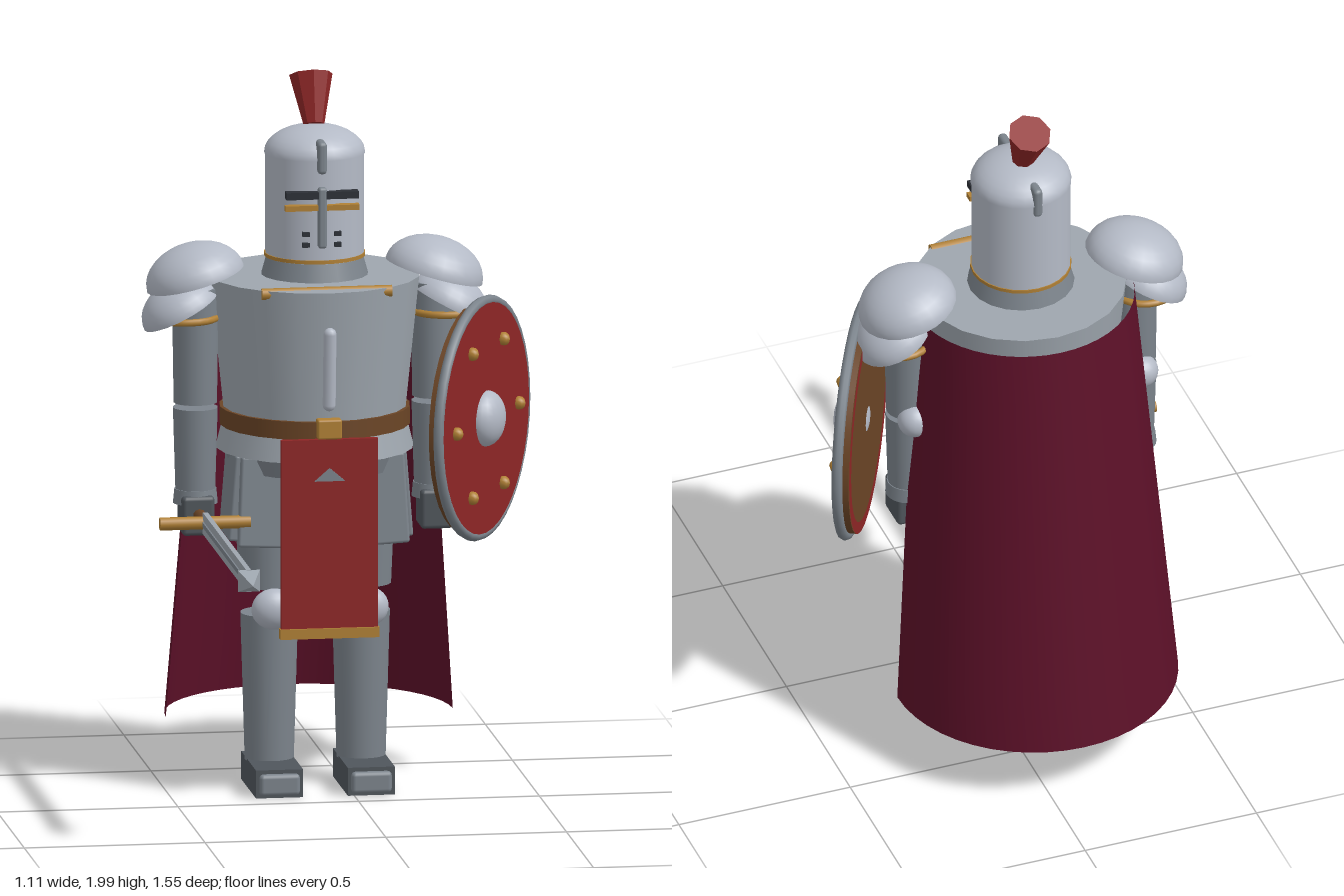
import * as THREE from 'three';
import { RoundedBoxGeometry } from 'three/addons/geometries/RoundedBoxGeometry.js';

const material = (name, color, side = THREE.FrontSide) =>
  Object.assign(new THREE.MeshStandardMaterial({ color, side }), { name });

export function createModel() {
  const M = {
    bright: material('brightSteel', 0xb4bac6, THREE.DoubleSide),
    plate: material('plateSteel', 0x9ea6ae),
    mail: material('greySteel', 0x7c848c),
    boot: material('darkSteel', 0x50565c),
    slit: material('blackSlit', 0x2c3036),
    red: material('redCloth', 0x8e2626),
    cape: material('crimsonCape', 0x5c1028, THREE.DoubleSide),
    gold: material('gold', 0xb08035),
    wood: material('brownLeather', 0x6b4526),
  };
  const model = new THREE.Group();
  model.name = 'knight';
  const body = new THREE.Group();
  body.name = 'body';
  body.position.set(-0.08, 0, -0.28);
  model.add(body);

  // Helpers: each adds one named mesh to a parent
  const add = (parent, name, geo, mat, x = 0, y = 0, z = 0) => {
    const m = new THREE.Mesh(geo, mat);
    m.name = name;
    m.position.set(x, y, z);
    parent.add(m);
    return m;
  };
  const box = (p, name, mat, w, h, d, x, y, z) => add(p, name, new THREE.BoxGeometry(w, h, d), mat, x, y, z);
  const round = (p, name, mat, w, h, d, r, x, y, z) => add(p, name, new RoundedBoxGeometry(w, h, d, 2, r), mat, x, y, z);
  const column = (p, name, mat, rTop, rBottom, y0, y1, x = 0, z = 0, sides = 20) =>
    add(p, name, new THREE.CylinderGeometry(rTop, rBottom, y1 - y0, sides), mat, x, (y0 + y1) / 2, z);
  const ball = (p, name, mat, r, x, y, z, sx = 1, sy = 1, sz = 1) => {
    const m = add(p, name, new THREE.SphereGeometry(r, 20, 14), mat, x, y, z);
    m.scale.set(sx, sy, sz);
    return m;
  };
  const dome = (p, name, mat, r, h, x, y, z = 0) => {
    const m = add(p, name, new THREE.SphereGeometry(r, 24, 8, 0, Math.PI * 2, 0, Math.PI / 2), mat, x, y, z);
    m.scale.y = h / r;
    return m;
  };

  // Torso and belt
  column(body, 'breastplate', M.plate, 0.29, 0.25, 1.04, 1.43);
  add(body, 'chestRidge', new THREE.CapsuleGeometry(0.018, 0.2, 4, 10), M.bright, 0, 1.215, 0.277).rotation.x = 0.08;
  const bar = column(body, 'chestBar', M.gold, 0.016, 0.016, -0.18, 0.18, 0, 0.225, 10);
  bar.rotation.z = Math.PI / 2;
  bar.position.y = 1.42;
  column(body, 'belt', M.wood, 0.262, 0.262, 1.015, 1.065, 0, 0, 24);
  round(body, 'buckle', M.gold, 0.068, 0.055, 0.04, 0.006, 0, 1.048, 0.265);
  column(body, 'waistGuard', M.plate, 0.255, 0.272, 0.95, 1.02);
  column(body, 'hips', M.mail, 0.25, 0.235, 0.9, 0.955);

  // Tabard with gold hem and chevron
  box(body, 'tabard', M.red, 0.268, 0.54, 0.018, 0, 0.75, 0.27);
  box(body, 'tabardHem', M.gold, 0.274, 0.028, 0.028, 0, 0.48, 0.272);
  const tri = new THREE.Shape([[-0.042, 0], [0.042, 0], [0, 0.036]].map(([x, y]) => new THREE.Vector2(x, y)));
  add(body, 'tabardChevron', new THREE.ExtrudeGeometry(tri, { depth: 0.008, bevelEnabled: false }), M.mail, 0, 0.905, 0.278);

  // Neck and helmet
  column(body, 'gorget', M.mail, 0.132, 0.15, 1.42, 1.485);
  column(body, 'helmet', M.bright, 0.136, 0.136, 1.48, 1.775, 0, 0, 24);
  dome(body, 'helmetDome', M.bright, 0.139, 0.078, 0, 1.768);
  column(body, 'helmetRing', M.gold, 0.139, 0.139, 1.481, 1.491, 0, 0, 24);
  round(body, 'helmetRidge', M.mail, 0.026, 0.09, 0.295, 0.011, 0, 1.778, 0.005);
  box(body, 'visorSlit', M.slit, 0.2, 0.02, 0.03, 0, 1.675, 0.137);
  box(body, 'visorBar', M.gold, 0.205, 0.015, 0.025, 0, 1.64, 0.137);
  round(body, 'noseGuard', M.mail, 0.024, 0.17, 0.03, 0.008, 0, 1.612, 0.14);
  for (const x of [-0.044, 0.044])
    for (const y of [1.535, 1.565]) box(body, 'breathHole', M.slit, 0.02, 0.012, 0.03, x, y, 0.125);

  // Plume leaning backwards
  const plumeGeo = new THREE.CylinderGeometry(0.06, 0.029, 0.14, 8).toNonIndexed();
  plumeGeo.computeVertexNormals();
  add(body, 'plume', plumeGeo, M.red, 0, 1.906, -0.042).rotation.x = -0.42;

  for (const s of [-1, 1]) {
    // Arms
    const arm = new THREE.Group();
    arm.name = s > 0 ? 'leftArm' : 'rightArm';
    arm.position.x = s * 0.33;
    body.add(arm);
    dome(arm, 'shoulderGuard', M.bright, 0.138, 0.098, 0, 1.425).rotation.z = -s * 0.28;
    dome(arm, 'lowerShoulderGuard', M.bright, 0.113, 0.085, s * 0.04, 1.335).rotation.z = -s * 0.48;
    const ring = add(arm, 'shoulderTrim', new THREE.TorusGeometry(0.088, 0.01, 8, 24), M.gold, s * 0.03, 1.318, 0);
    ring.rotation.set(Math.PI / 2, -s * 0.48, 0, 'ZYX');
    ring.rotation.set(Math.PI / 2, s * 0.48, 0);
    column(arm, 'upperArm', M.mail, 0.065, 0.06, 1.08, 1.4);
    column(arm, 'forearm', M.mail, 0.062, 0.055, 0.83, 1.066);
    ball(arm, 'elbowGuard', M.bright, 0.048, 0, 1.075, -0.055);
    column(arm, 'cuff', M.mail, 0.058, 0.062, 0.8, 0.84);
    round(arm, 'gauntlet', M.boot, 0.09, 0.11, 0.11, 0.012, 0, 0.772, 0.01);

    // Legs
    const leg = new THREE.Group();
    leg.name = s > 0 ? 'leftLeg' : 'rightLeg';
    leg.position.x = s * 0.127;
    body.add(leg);
    column(leg, 'thigh', M.mail, 0.1, 0.084, 0.565, 0.93, 0, 0.005);
    const tasset = round(leg, 'hipPlate', M.mail, 0.16, 0.25, 0.03, 0.008, s * 0.025, 0.825, 0.155);
    tasset.rotation.set(-0.08, 0, s * 0.05);
    const sidePlate = round(leg, 'sidePlate', M.mail, 0.03, 0.24, 0.18, 0.008, s * 0.105, 0.83, 0.03);
    sidePlate.rotation.z = s * 0.08;
    ball(leg, 'kneeGuard', M.bright, 0.06, 0, 0.515, 0.1, 1.05, 0.95, 0.72);
    column(leg, 'shin', M.mail, 0.08, 0.068, 0.08, 0.49, 0, 0.01);
    box(leg, 'boot', M.boot, 0.13, 0.078, 0.275, 0, 0.047, 0.0625);
    round(leg, 'toeCap', M.mail, 0.112, 0.06, 0.06, 0.012, 0, 0.045, 0.186);
  }

  // Sword held level in the right hand, built along +z
  const sword = new THREE.Group();
  sword.name = 'sword';
  sword.position.set(-0.408, 0.775, 0);
  model.add(sword);
  const grip = column(sword, 'grip', M.wood, 0.018, 0.018, -0.11, 0.11, 0, -0.22, 10);
  grip.rotation.x = Math.PI / 2;
  ball(sword, 'pommel', M.gold, 0.028, 0, 0, -0.34);
  column(sword, 'crossGuard', M.gold, 0.018, 0.018, -0.125, 0.125, 0, -0.115, 10).rotation.z = Math.PI / 2;
  box(sword, 'blade', M.plate, 0.014, 0.06, 0.81, 0, 0, 0.295);
  box(sword, 'fuller', M.mail, 0.022, 0.014, 0.66, 0, 0, 0.24);
  const tipGeo = new THREE.ConeGeometry(0.043, 0.08, 4).toNonIndexed();
  tipGeo.rotateY(Math.PI / 4);
  tipGeo.rotateX(Math.PI / 2);
  tipGeo.computeVertexNormals();
  add(sword, 'bladeTip', tipGeo, M.plate, 0, 0, 0.735);

  // Round shield, turned outwards on the left arm
  const shield = new THREE.Group();
  shield.name = 'shield';
  shield.position.set(0.37, 1.026, -0.207);
  shield.rotation.y = Math.PI / 3;
  model.add(shield);
  const disc = (name, mat, r, depth, z) => {
    const m = add(shield, name, new THREE.CylinderGeometry(r, r, depth, 36), mat, 0, 0, z);
    m.rotation.x = Math.PI / 2;
  };
  disc('shieldFace', M.red, 0.32, 0.02, 0.005);
  disc('shieldWood', M.wood, 0.318, 0.026, -0.016);
  const backRing = new THREE.RingGeometry(0.285, 0.318, 36).rotateY(Math.PI);
  add(shield, 'shieldBackRing', backRing, M.red, 0, 0, -0.031);
  add(shield, 'shieldRim', new THREE.TorusGeometry(0.324, 0.015, 8, 40), M.mail, 0, 0, 0.002);
  ball(shield, 'shieldBoss', M.bright, 0.077, 0, 0, 0.015, 1, 1, 0.65);
  for (let i = 0; i < 6; i++) {
    const a = (i * Math.PI) / 3;
    add(shield, 'rivet', new THREE.SphereGeometry(0.019, 8, 6), M.gold, 0.232 * Math.cos(a), 0.232 * Math.sin(a), 0.02);
  }

  // Cape: half-round sheet that widens and swings back towards the hem
  const capeGeo = new THREE.PlaneGeometry(1, 1, 24, 8);
  const pos = capeGeo.attributes.position;
  for (let i = 0; i < pos.count; i++) {
    const a = (0.5 - pos.getX(i)) * Math.PI;
    const t = 0.5 - pos.getY(i);
    const r = 0.31 + 0.087 * t;
    pos.setXYZ(i, Math.cos(a) * r, 1.395 - 1.212 * t, -0.005 - 0.093 * t - Math.sin(a) * r);
  }
  capeGeo.computeVertexNormals();
  add(body, 'cape', capeGeo, M.cape);

  return model;
}
